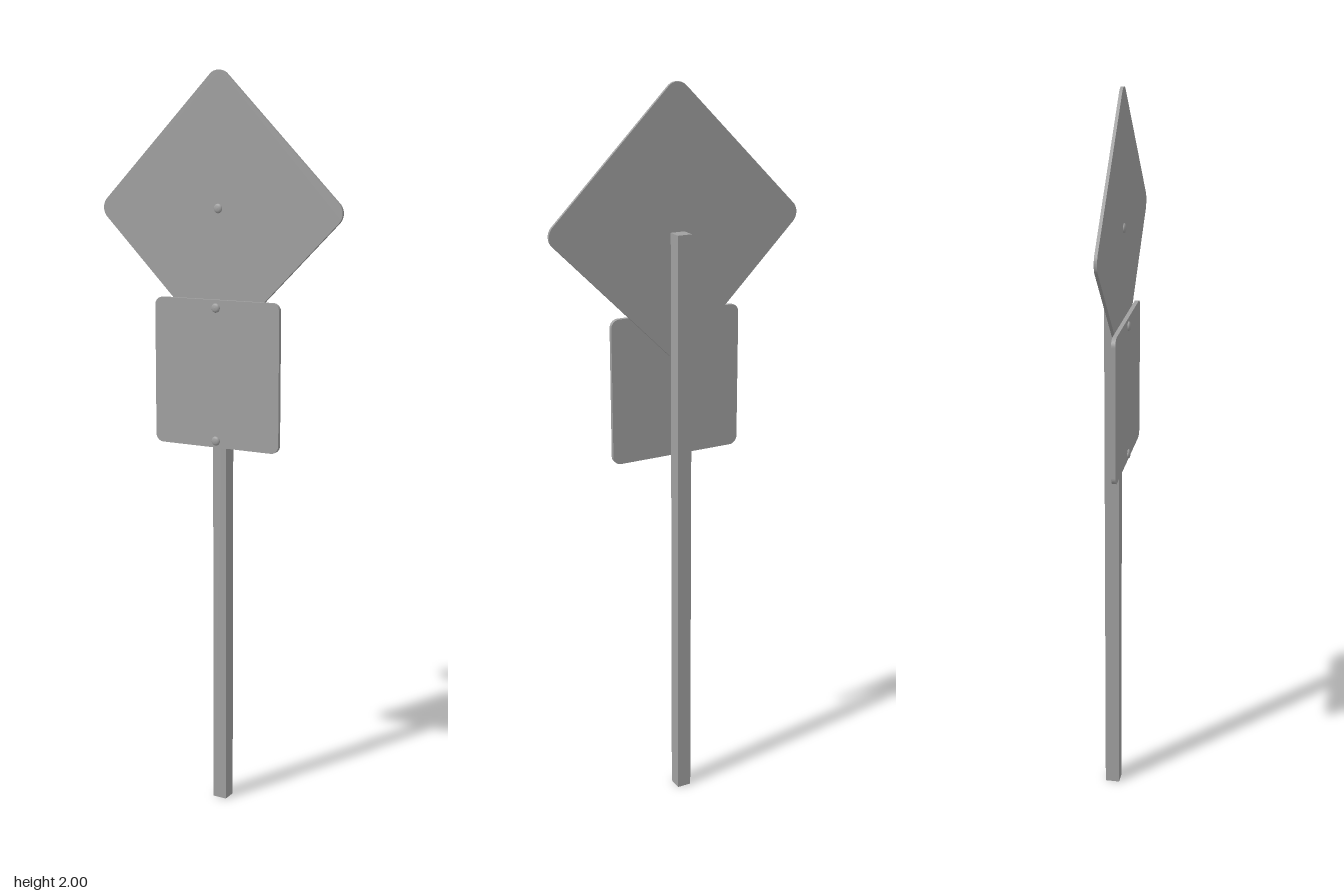
import * as THREE from 'three';

// Rounded rectangle plate, centred in x and y, from z = 0 to z = depth
function plateGeometry(w, h, r, depth) {
  const x = w / 2, y = h / 2, s = new THREE.Shape();
  s.absarc(x - r, y - r, r, 0, Math.PI / 2);
  s.absarc(-x + r, y - r, r, Math.PI / 2, Math.PI);
  s.absarc(-x + r, -y + r, r, Math.PI, Math.PI * 1.5);
  s.absarc(x - r, -y + r, r, Math.PI * 1.5, Math.PI * 2);
  s.closePath();
  return new THREE.ExtrudeGeometry(s, { depth, bevelEnabled: false, curveSegments: 8 });
}

export function createModel() {
  const group = new THREE.Group();
  const grey = new THREE.MeshStandardMaterial({ color: 0xa0a0a0 });
  grey.name = 'grey metal';

  const add = (name, geometry, x, y, z) => {
    const mesh = new THREE.Mesh(geometry, grey);
    mesh.name = name;
    mesh.position.set(x, y, z);
    group.add(mesh);
    return mesh;
  };

  // Square post
  add('post', new THREE.BoxGeometry(0.04, 1.625, 0.04), 0, 0.8125, -0.015);

  // Diamond plate, with the smaller plate in front of its lower corner
  add('diamondPlate', plateGeometry(0.523, 0.523, 0.035, 0.008), 0, 1.645, 0.005)
    .rotation.z = Math.PI / 4;
  add('lowerPlate', plateGeometry(0.374, 0.396, 0.022, 0.011), 0, 1.215, 0.014);

  // Domed bolt heads
  const bolt = new THREE.LatheGeometry([
    [0.012, -0.001], [0.0125, 0.002], [0.0105, 0.005], [0.006, 0.0065], [0, 0.007],
  ].map(([r, h]) => new THREE.Vector2(r, h)), 16);
  bolt.rotateX(Math.PI / 2);
  for (const [name, y, z] of [
    ['diamondBolt', 1.65, 0.012], ['upperBolt', 1.392, 0.025], ['lowerBolt', 1.035, 0.025],
  ]) add(name, bolt, 0, y, z);

  return group;
}
